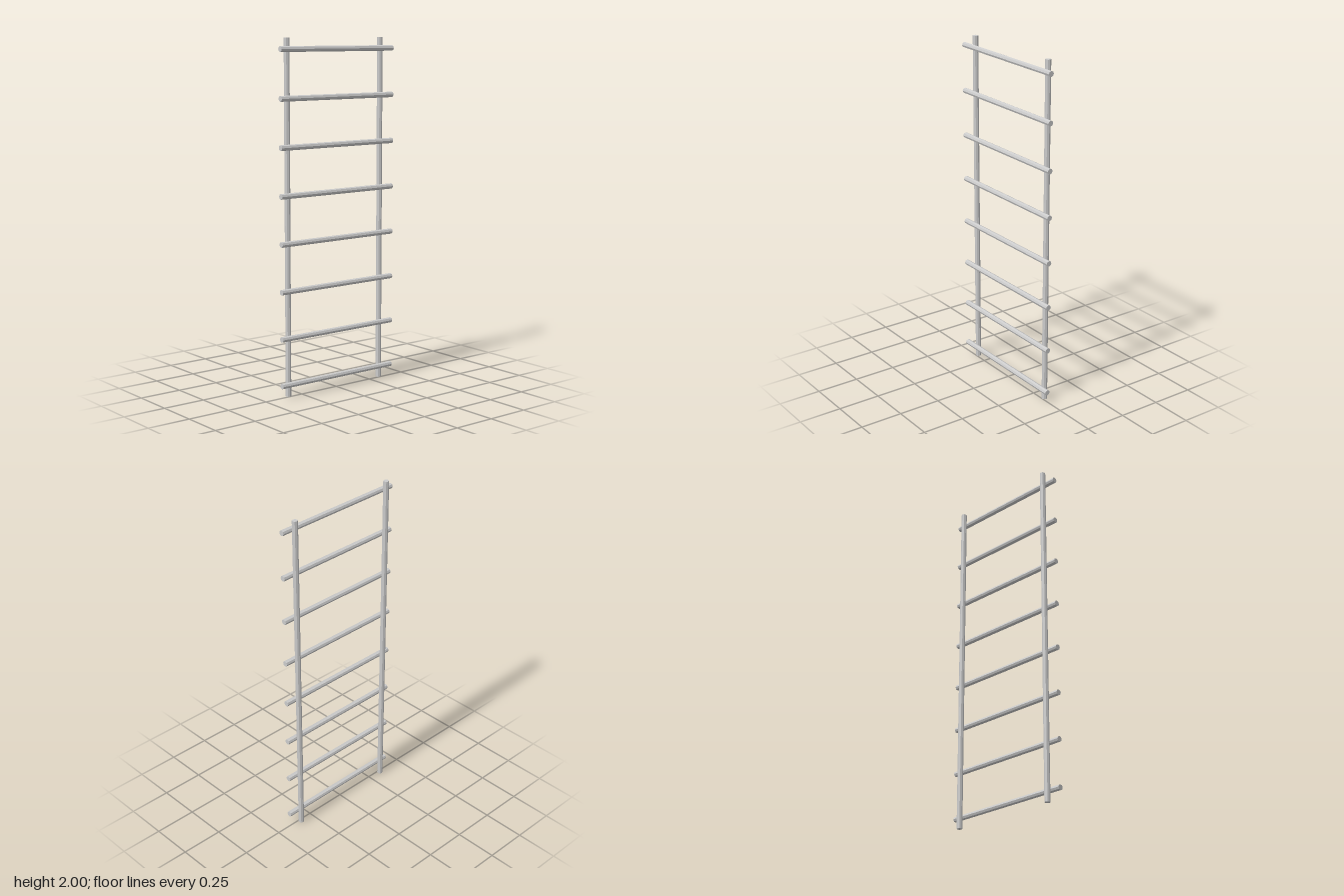
import * as THREE from 'three';

const RADIUS = 0.016;
const OFFSET = 0.015; // rails and rungs lie side by side, just touching
const RUNGS = 8;

export function createModel() {
  const ladder = new THREE.Group();
  ladder.name = 'ladder';
  const material = new THREE.MeshStandardMaterial({ color: 0xcccccc, flatShading: true });

  // Octagonal pole, upright until rotated
  const pole = (name, length, x, y, z) => {
    const mesh = new THREE.Mesh(new THREE.CylinderGeometry(RADIUS, RADIUS, length, 8), material);
    mesh.name = name;
    mesh.position.set(x, y, z);
    ladder.add(mesh);
    return mesh;
  };

  // Two upright rails
  pole('frontRail', 2, -OFFSET, 1, 0.333);
  pole('backRail', 2, -OFFSET, 1, -0.333);

  // Rungs fixed across the +x side of the rails
  for (let i = 0; i < RUNGS; i++) {
    pole(`rung${i + 1}`, 0.8, OFFSET, 0.073 + i * 0.2666, 0).rotation.x = Math.PI / 2;
  }
  return ladder;
}
